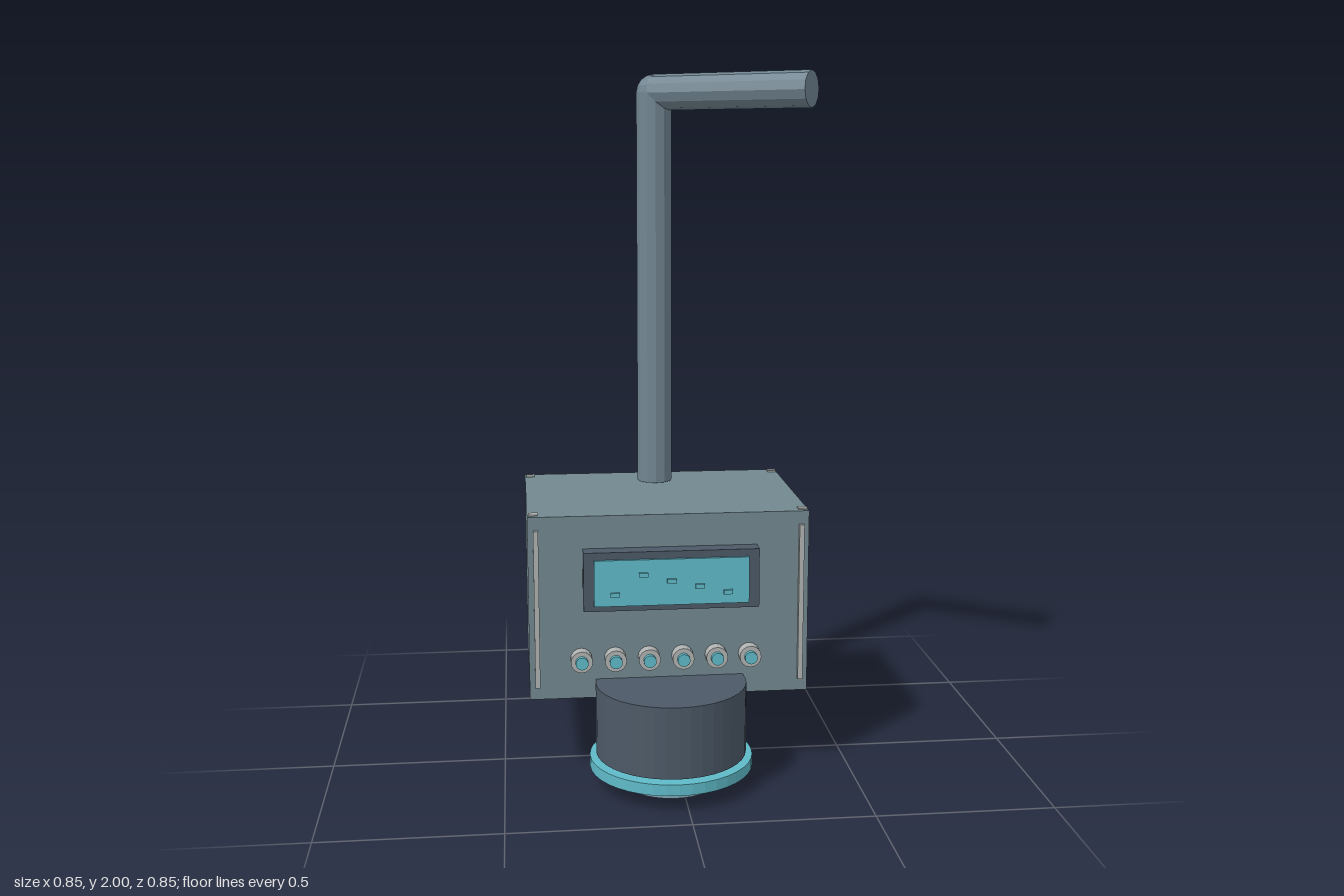
import * as THREE from 'three';

const material = (name, color) => {
  const m = new THREE.MeshStandardMaterial({ color, flatShading: true });
  m.name = name;
  return m;
};

export function createModel() {
  const root = new THREE.Group();
  root.name = 'controlBox';

  const slate = material('slate', 0x72888f);
  const steel = material('steel', 0x718592);
  const dark = material('darkSlate', 0x4c5967);
  const teal = material('teal', 0x5fbac8);
  const paleBlue = material('paleBlue', 0x7fa5b2);
  const grey = material('lightGrey', 0xb0b3b2);

  const CX = -0.026; // shared centre line of box, pole and drum

  const add = (name, geometry, mat, x, y, z) => {
    const mesh = new THREE.Mesh(geometry, mat);
    mesh.name = name;
    mesh.position.set(x, y, z);
    root.add(mesh);
    return mesh;
  };
  // box given by its extents on each axis
  const block = (name, mat, [x0, x1], [y0, y1], [z0, z1]) =>
    add(name, new THREE.BoxGeometry(x1 - x0, y1 - y0, z1 - z0), mat,
      (x0 + x1) / 2, (y0 + y1) / 2, (z0 + z1) / 2);
  // upright disc from y0 to y1
  const disc = (name, mat, r, y0, y1, z, sides = 40) =>
    add(name, new THREE.CylinderGeometry(r, r, y1 - y0, sides), mat, CX, (y0 + y1) / 2, z);
  // disc facing the front, from z0 to z1
  const button = (name, mat, r, x, y, z0, z1) => {
    const mesh = add(name, new THREE.CylinderGeometry(r, r, z1 - z0, 16), mat, x, y, (z0 + z1) / 2);
    mesh.rotation.x = Math.PI / 2;
  };

  // main housing
  block('housing', slate, [-0.425, 0.373], [0.238, 0.77], [-0.425, 0.152]);

  // corner plates on the lid
  for (const x of [-0.408, 0.358])
    for (const z of [-0.397, 0.124])
      block('cornerPlate', grey, [x - 0.013, x + 0.013], [0.768, 0.774], [z - 0.013, z + 0.013]);

  // upright strips on the front
  for (const x of [-0.402, 0.351])
    block('frontStrip', grey, [x - 0.007, x + 0.007], [0.275, 0.732], [0.15, 0.165]);

  // display with raised marks
  block('displayFrame', dark, [-0.272, 0.223], [0.508, 0.677], [0.155, 0.205]);
  block('displayScreen', teal, [-0.243, 0.193], [0.524, 0.656], [0.204, 0.213]);
  [0.558, 0.614, 0.594, 0.577, 0.558].forEach((y, i) => {
    const x = CX + (i - 2) * 0.0795;
    block('displayMark', teal, [x - 0.013, x + 0.013], [y - 0.006, y + 0.006], [0.212, 0.222]);
  });

  // row of knobs
  for (let i = 0; i < 6; i++) {
    const x = -0.278 + i * 0.0962;
    button('knobRing', grey, 0.031, x, 0.355, 0.152, 0.187);
    button('knobCap', teal, 0.018, x, 0.355, 0.186, 0.201);
  }

  // bent pole: upright, elbow and angled arm
  const R = 0.0525;
  const elbow = new THREE.Vector3(CX, 1.947, -0.29);
  const armEnd = new THREE.Vector3(0.394, 1.947, -0.011);
  const rod = (name, a, b) => {
    const dir = b.clone().sub(a);
    const mid = a.clone().add(b).multiplyScalar(0.5);
    const mesh = add(name, new THREE.CylinderGeometry(R, R, dir.length(), 12), steel, mid.x, mid.y, mid.z);
    mesh.quaternion.setFromUnitVectors(new THREE.Vector3(0, 1, 0), dir.normalize());
  };
  rod('pole', new THREE.Vector3(CX, 0.775, -0.29), elbow);
  rod('poleArm', elbow, armEnd);
  add('poleElbow', new THREE.SphereGeometry(R, 12, 8), steel, elbow.x, elbow.y, elbow.z);

  // front drum with flange and foot
  const DZ = 0.19;
  disc('drum', dark, 0.214, 0.088, 0.293, DZ);
  disc('drumFlange', teal, 0.232, 0.048, 0.08, DZ);
  disc('drumNeck', teal, 0.12, 0.03, 0.09, DZ);
  disc('drumFoot', paleBlue, 0.14, 0, 0.037, DZ);

  // socket under the housing
  const SZ = -0.136;
  disc('socketPlate', slate, 0.145, 0.232, 0.24, SZ);
  disc('socketDisc', paleBlue, 0.095, 0.206, 0.236, SZ);

  return root;
}
